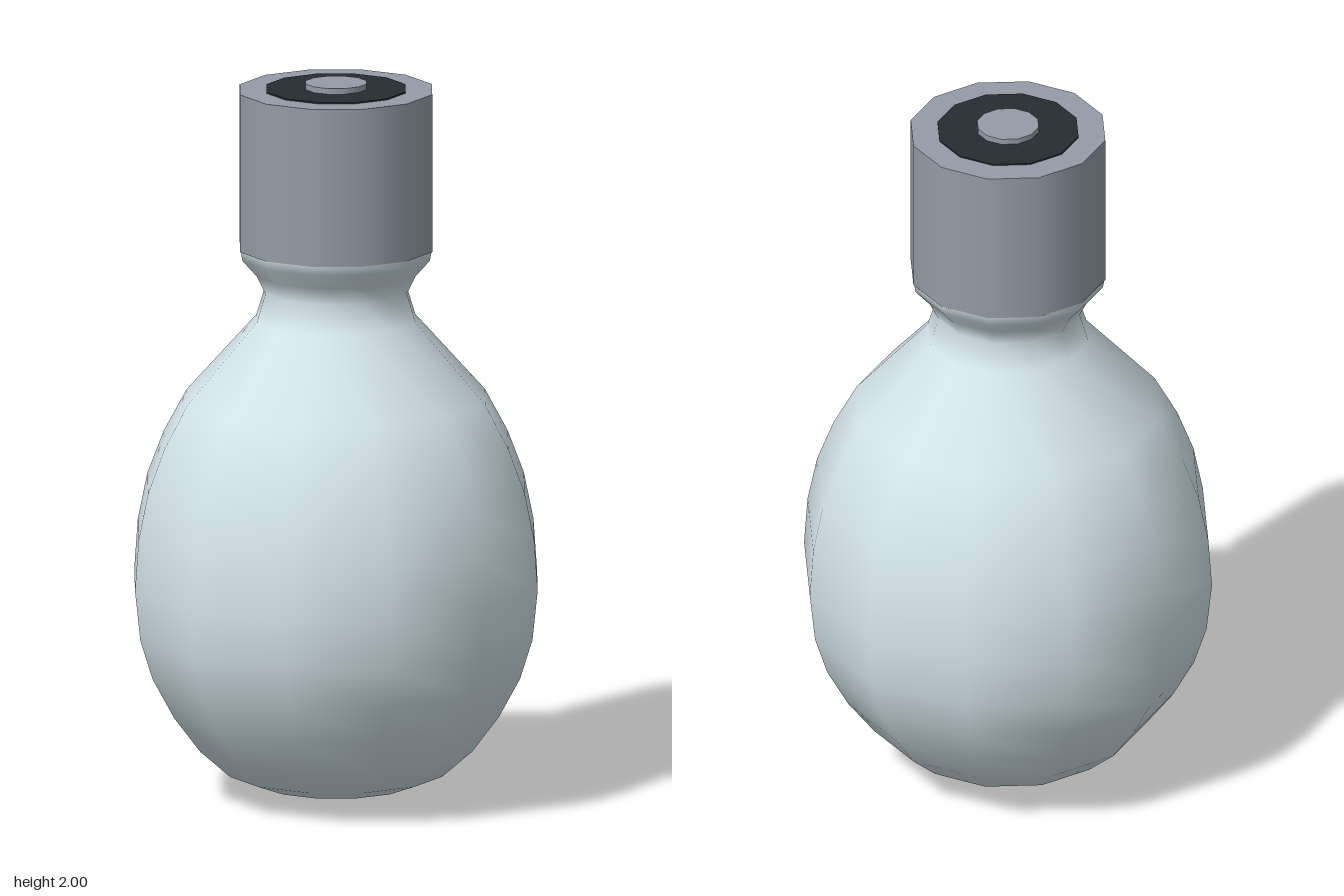
import * as THREE from 'three';

const SIDES = 12;

function addPart(group, name, geometry, color) {
  const material = new THREE.MeshStandardMaterial({ color });
  const mesh = new THREE.Mesh(geometry, material);
  mesh.name = name;
  group.add(mesh);
  return mesh;
}

export function createModel() {
  const group = new THREE.Group();
  group.name = 'lightBulb';

  // Glass: rounded body, pinched neck and a collar that meets the cap
  const profile = [
    [0, 0], [0.205, 0.04], [0.30, 0.075], [0.385, 0.15], [0.46, 0.25],
    [0.52, 0.36], [0.555, 0.47], [0.57, 0.61], [0.56, 0.75], [0.533, 0.88],
    [0.487, 1.0], [0.422, 1.12], [0.225, 1.34], [0.2, 1.42],
    [0.225, 1.47], [0.265, 1.515], [0.27, 1.54],
  ].map(([r, y]) => new THREE.Vector2(r, y));
  addPart(group, 'glass', new THREE.LatheGeometry(profile, SIDES), 0xd3e3ea);

  // Metal cap
  const cap = addPart(group, 'cap', new THREE.CylinderGeometry(0.272, 0.272, 0.44, SIDES), 0x959ca8);
  cap.position.y = 1.76;

  // Dark insulating ring on top of the cap
  const insulator = addPart(group, 'insulator', new THREE.CylinderGeometry(0.197, 0.197, 0.01, SIDES), 0x262c2f);
  insulator.position.y = 1.979;

  // Contact button at the centre
  const contact = addPart(group, 'contact', new THREE.CylinderGeometry(0.086, 0.086, 0.03, SIDES), 0x959ca8);
  contact.position.y = 1.985;

  return group;
}
